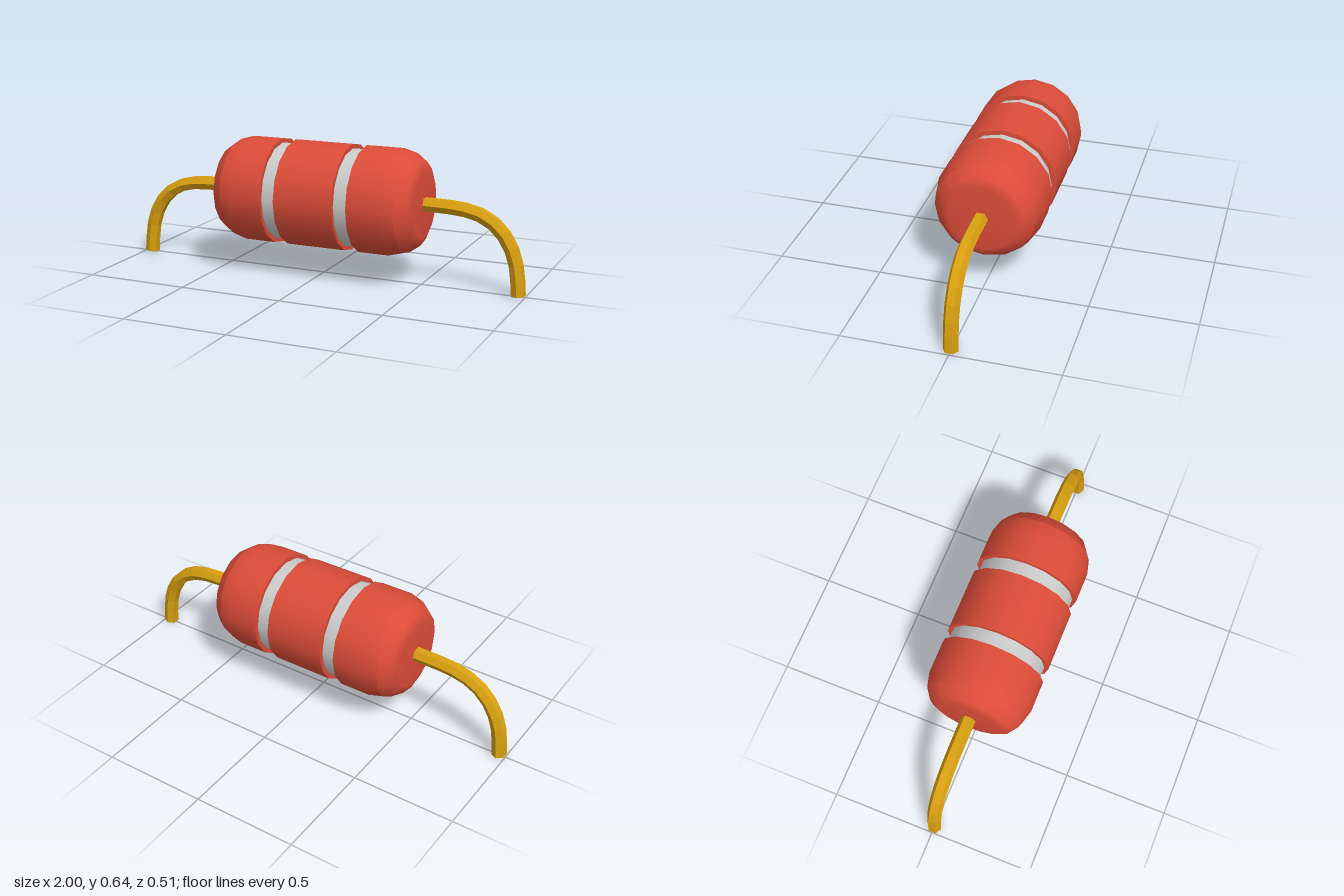
import * as THREE from 'three';
import { mergeGeometries } from 'three/addons/utils/BufferGeometryUtils.js';

const AXIS_Y = 0.387; // height of the body's long axis
const R = 0.256, GROOVE_R = 0.235;
const GROOVE_IN = 0.148, GROOVE_OUT = 0.218;

// Sixteen-sided surface around the x axis; points are [x, radius] with x ascending.
function turned(points) {
  const profile = points.map(([x, r]) => new THREE.Vector2(r, x));
  return new THREE.LatheGeometry(profile, 16).rotateZ(-Math.PI / 2).translate(0, AXIS_Y, 0);
}

// Profile mirrored to the -x end, still in ascending order.
const mirrored = (points) => points.map(([x, r]) => [-x, r]).reverse();

export function createModel() {
  const group = new THREE.Group();
  const red = new THREE.MeshStandardMaterial({ color: 0xdc4c38 });
  const grey = new THREE.MeshStandardMaterial({ color: 0xcccccc });
  const gold = new THREE.MeshStandardMaterial({ color: 0xd9a010, flatShading: true });

  const add = (name, geometry, material) => {
    const mesh = new THREE.Mesh(geometry, material);
    mesh.name = name;
    group.add(mesh);
    return mesh;
  };

  // Body: separate smooth strips, so the edges between them stay sharp
  const strips = [
    [[GROOVE_OUT, GROOVE_R], [GROOVE_OUT, R]],
    [[GROOVE_OUT, R], [0.37, R], [0.44, 0.237]],
    [[0.44, 0.237], [0.492, 0.2], [0.51, 0.16], [0.51, 0]],
    [[GROOVE_IN, R], [GROOVE_IN, GROOVE_R]],
  ];
  const parts = strips.flatMap((s) => [turned(s), turned(mirrored(s))]);
  parts.push(turned([[-GROOVE_IN, R], [GROOVE_IN, R]]));
  add('body', mergeGeometries(parts), red);

  // Grey bands in the grooves
  const band = [[GROOVE_IN, GROOVE_R], [GROOVE_OUT, GROOVE_R]];
  add('leftBand', turned(band), grey);
  add('rightBand', turned(mirrored(band)), grey);

  // Hexagonal wire leads bending down to the ground
  const path = new THREE.CatmullRomCurve3(
    [[0.49, AXIS_Y], [0.6, AXIS_Y], [0.68, 0.383], [0.76, 0.37], [0.85, 0.323],
      [0.915, 0.245], [0.953, 0.143], [0.968, 0.003]].map(([x, y]) => new THREE.Vector3(x, y, 0)));
  const tube = new THREE.TubeGeometry(path, 10, 0.035, 6);
  const tip = new THREE.CircleGeometry(0.035, 6)
    .rotateZ(Math.PI / 2)
    .applyQuaternion(new THREE.Quaternion().setFromUnitVectors(
      new THREE.Vector3(0, 0, 1), new THREE.Vector3(0, -1, 0)))
    .rotateY(Math.PI / 2)
    .rotateZ(0.1);
  // Turn the cap so two of its corners point along z, like the wire's section
  tip.rotateZ(-0.1).rotateY(alignAngle(tip)).rotateZ(0.1).translate(0.968, 0.003, 0);
  const lead = mergeGeometries([tube, tip]);
  add('leftLead', lead, gold);
  add('rightLead', lead, gold).rotation.y = Math.PI;

  return group;
}

// Angle about y that brings the first rim corner onto the z axis.
function alignAngle(disc) {
  const p = disc.attributes.position;
  return -Math.atan2(p.getX(1), p.getZ(1));
}
